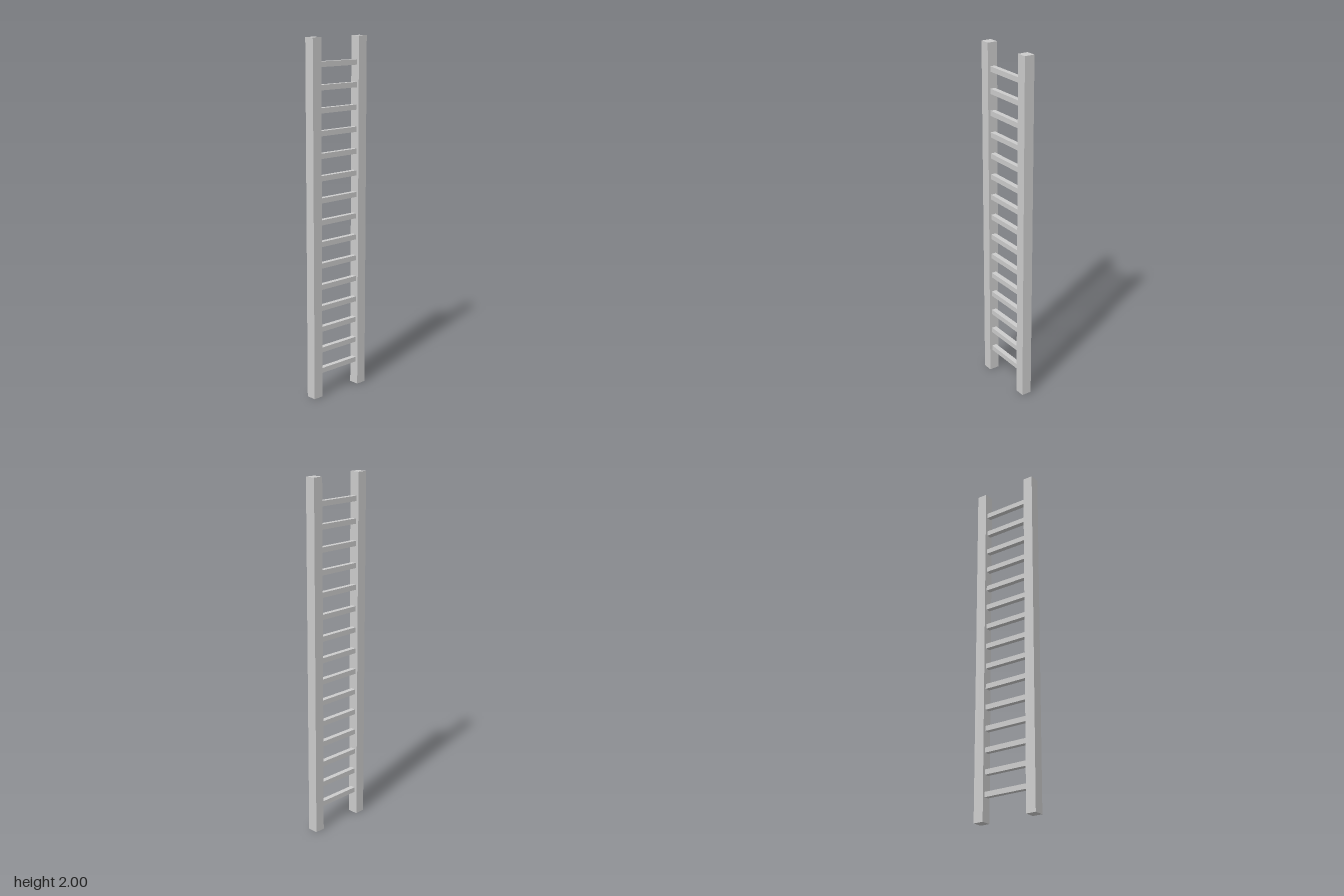
import * as THREE from 'three';

export function createModel() {
  const ladder = new THREE.Group();
  ladder.name = 'ladder';
  const material = new THREE.MeshStandardMaterial({ color: 0xcccccc, flatShading: true });

  const addBox = (name, size, position) => {
    const mesh = new THREE.Mesh(new THREE.BoxGeometry(...size), material);
    mesh.name = name;
    mesh.position.set(...position);
    ladder.add(mesh);
  };

  // Two square side rails
  const railSize = 0.059;
  const railX = 0.166;
  addBox('leftRail', [railSize, 2, railSize], [railX, 1, 0]);
  addBox('rightRail', [railSize, 2, railSize], [-railX, 1, 0]);

  // Evenly spaced square rungs, ending at the rails' inner faces
  const rungCount = 15;
  const rungSize = 0.029;
  const firstY = 0.148;
  const lastY = 1.858;
  const rungLength = 2 * railX - railSize;
  for (let i = 0; i < rungCount; i++) {
    const y = firstY + ((lastY - firstY) * i) / (rungCount - 1);
    addBox(`rung${i + 1}`, [rungLength, rungSize, rungSize], [0, y, 0]);
  }

  return ladder;
}
